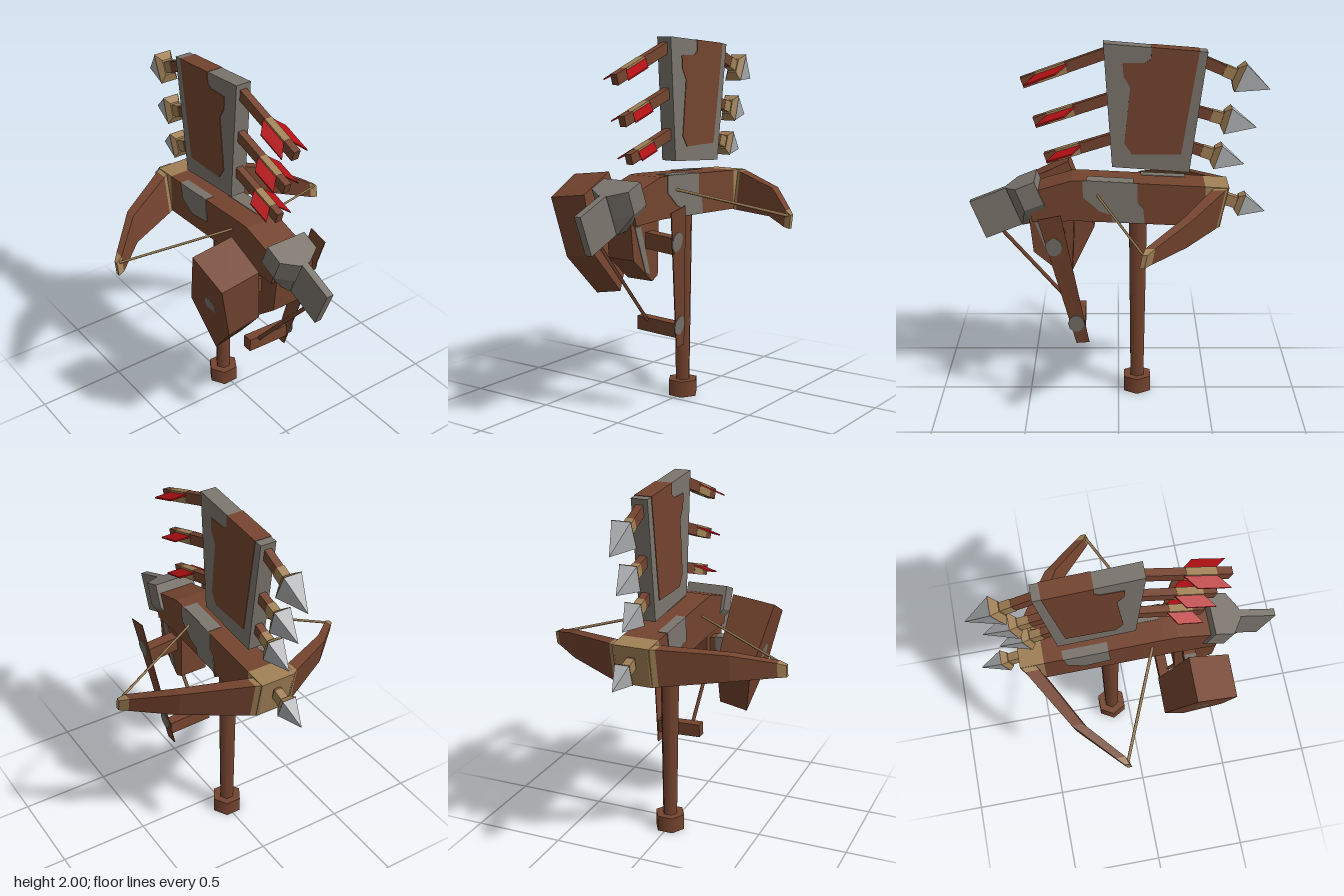
import * as THREE from 'three';

const material = (name, color, side = THREE.FrontSide) => {
  const m = new THREE.MeshStandardMaterial({ color, side });
  m.name = name;
  return m;
};

export function createModel() {
  const wood = material('brown wood', 0x74442f);
  const iron = material('worn grey iron', 0x7b756d);
  const rope = material('tan binding', 0xa08056);
  const steel = material('pale steel', 0xaeafb1);
  const red = material('red feather', 0xb01014, THREE.DoubleSide);
  const model = new THREE.Group();
  model.name = 'repeatingCrossbow';

  const add = (name, geometry, mat, parent = model) => {
    const mesh = new THREE.Mesh(geometry, mat);
    mesh.name = name;
    parent.add(mesh);
    return mesh;
  };

  // Flat-shaded solid through equal-length loops of points, always facing outward
  const loft = (loops) => {
    const tris = [];
    const n = loops[0].length;
    const last = loops[loops.length - 1];
    for (let k = 0; k + 1 < loops.length; k++) {
      for (let i = 0; i < n; i++) {
        const j = (i + 1) % n, a = loops[k], b = loops[k + 1];
        tris.push([a[i], a[j], b[j]], [a[i], b[j], b[i]]);
      }
    }
    for (let i = 1; i + 1 < n; i++) {
      tris.push([loops[0][0], loops[0][i + 1], loops[0][i]], [last[0], last[i], last[i + 1]]);
    }
    const v = (p) => new THREE.Vector3(...p);
    const o = v(loops[0][0]);
    const volume = tris.reduce((s, t) => {
      const [a, b, c] = t.map((p) => v(p).sub(o));
      return s + a.dot(b.cross(c));
    }, 0);
    if (volume < 0) tris.forEach((t) => t.reverse());
    const g = new THREE.BufferGeometry();
    g.setAttribute('position', new THREE.Float32BufferAttribute(tris.flat(2), 3));
    g.computeVertexNormals();
    return g;
  };

  // Side profile of [z, y] points, extruded from x0 to x1
  const slab = (pts, x0, x1) => {
    const shape = new THREE.Shape(pts.map(([z, y]) => new THREE.Vector2(-z, y)));
    return new THREE.ExtrudeGeometry(shape, { depth: x1 - x0, bevelEnabled: false })
      .rotateY(Math.PI / 2).translate(x0, 0, 0);
  };

  const rect = (w, h, z) =>
    [[-w / 2, -h / 2, z], [w / 2, -h / 2, z], [w / 2, h / 2, z], [-w / 2, h / 2, z]];

  const rod = (name, a, b, r, mat) => {
    const path = new THREE.LineCurve3(new THREE.Vector3(...a), new THREE.Vector3(...b));
    return add(name, new THREE.TubeGeometry(path, 1, r, 4), mat);
  };

  // Post and foot
  add('post', new THREE.CylinderGeometry(0.056, 0.042, 0.98, 6).rotateY(Math.PI / 6), wood)
    .position.set(-0.005, 0.56, -0.105);
  add('foot', new THREE.CylinderGeometry(0.086, 0.086, 0.09, 6).rotateY(Math.PI / 6), wood)
    .position.set(-0.005, 0.045, -0.105);

  // Stock: main beam, bound nose and drooping grip
  add('beam', slab([[0.5, 1.19], [0.44, 1.225], [0.25, 1.28], [0.18, 1.28], [-0.46, 1.247],
    [-0.46, 1.024], [0.22, 1.055], [0.46, 1.05]], -0.1, 0.1), wood);
  add('nose', slab([[-0.46, 1.247], [-0.587, 1.24], [-0.54, 1.02], [-0.46, 1.024]], -0.1, 0.1), rope);
  add('grip', slab([[0.24, 1.06], [0.48, 1.06], [0.46, 0.87], [0.3, 0.735], [0.25, 0.76]],
    -0.08, 0.08), wood);
  add('gripPatch', slab([[0.45, 1.04], [0.4, 1.04], [0.32, 0.77], [0.36, 0.79], [0.4, 0.9]],
    0.08, 0.084), iron);
  add('leftBeamPatch', slab([[0.19, 1.283], [-0.1, 1.268], [-0.1, 1.16], [-0.13, 1.13],
    [-0.14, 1.042], [0.03, 1.05], [0.04, 1.09], [0.1, 1.11], [0.19, 1.19]], 0.1, 0.104), iron);
  add('rightBeamPatch', slab([[-0.12, 1.267], [-0.36, 1.255], [-0.34, 1.16], [-0.25, 1.11],
    [-0.11, 1.13]], -0.104, -0.1), iron);
  const topPatch = (name, x, z, w, d, y) => {
    const p = add(name, new THREE.BoxGeometry(w, 0.006, d), iron);
    p.position.set(x, y, z);
    p.rotation.x = -0.052;
  };
  topPatch('leftTopPatch', 0.06, 0.045, 0.08, 0.25, 1.273);
  topPatch('rightTopPatch', -0.075, -0.24, 0.05, 0.24, 1.258);

  // Bow limbs and string: section = x, outer z, inner z, top y, bottom y
  const limb = [[0.09, -0.587, -0.51, 1.24, 1.02], [0.125, -0.565, -0.49, 1.235, 1.022],
    [0.44, -0.375, -0.315, 1.185, 1.035], [0.63, -0.18, -0.13, 1.105, 1.02],
    [0.668, -0.14, -0.115, 1.085, 1.015]];
  for (const s of [1, -1]) {
    const side = s > 0 ? 'left' : 'right';
    const sections = limb.map(([x, zo, zi, t, b]) => {
      const slant = (t - b) * 0.2;
      return [[s * x, t, zo], [s * x, t, zi], [s * x, b, zi + slant], [s * x, b, zo + slant]];
    });
    add(side + 'LimbRoot', loft(sections.slice(0, 2)), rope);
    add(side + 'Limb', loft(sections.slice(1, 4)), wood);
    add(side + 'LimbTip', loft(sections.slice(3)), rope);
    rod(side + 'String', [s * 0.65, 1.08, -0.12], [s * 0.08, 1.205, 0.122], 0.008, rope);
  }

  // Magazine with wooden panels
  add('magazine', slab([[0.08, 2], [-0.46, 1.955], [-0.375, 1.31], [0.035, 1.34]],
    -0.044, 0.044), iron);
  add('magazinePanel', slab([[-0.167, 1.981], [-0.416, 1.961], [-0.33, 1.41], [-0.07, 1.41],
    [-0.03, 1.47], [-0.06, 1.77], [-0.025, 1.83], [-0.02, 1.9], [-0.135, 1.9], [-0.167, 1.92]],
    -0.047, 0.047), wood);

  // Arrow fronts: start z, y, tip z, y, head size
  [[-0.44, 1.9, -0.793, 1.75, 0.16], [-0.41, 1.635, -0.73, 1.545, 0.148],
    [-0.38, 1.44, -0.67, 1.343, 0.138], [-0.52, 1.168, -0.793, 1.077, 0.125],
  ].forEach(([z, y, tz, ty, size]) => {
    const arrow = new THREE.Group();
    arrow.name = 'arrowFront';
    arrow.position.set(0, y, z);
    arrow.rotation.x = -Math.atan2(y - ty, z - tz);
    const length = Math.hypot(y - ty, z - tz);
    const base = length - size * 1.1, neck = base - 0.03, bind = neck - 0.06;
    const w = size * 0.65;
    add('shaft', loft([rect(0.04, 0.058, 0), rect(0.04, 0.058, -bind)]), wood, arrow);
    add('binding', loft([rect(0.044, 0.062, -bind), rect(0.044, 0.062, -neck)]), rope, arrow);
    add('collar', loft([rect(0.055, 0.08, -neck), rect(w, size, -base)]), rope, arrow);
    add('head', loft([rect(w * 0.96, size * 0.96, -base), rect(0.001, 0.001, -length)]), steel, arrow);
    model.add(arrow);
  });

  // Arrow tails: start z, y, end z, y
  [[0.06, 1.945, 0.503, 1.788], [0.045, 1.705, 0.443, 1.575], [0.035, 1.487, 0.39, 1.378],
  ].forEach(([z, y, ez, ey]) => {
    const tail = new THREE.Group();
    tail.name = 'arrowTail';
    tail.position.set(0, y, z);
    tail.rotation.x = Math.atan2(y - ey, ez - z);
    const l = Math.hypot(y - ey, ez - z);
    add('shaft', loft([rect(0.04, 0.058, 0), rect(0.04, 0.058, l * 0.48)]), wood, tail);
    add('binding', loft([rect(0.042, 0.06, l * 0.48), rect(0.042, 0.06, l * 0.82)]), rope, tail);
    add('nock', loft([rect(0.04, 0.058, l * 0.82), rect(0.04, 0.058, l)]), wood, tail);
    for (const s of [1, -1]) {
      const fin = (h) => [[s * 0.018, 0.012 + h, l * 0.45], [s * 0.078, -0.008 + h, l * 0.6],
        [s * 0.078, -0.008 + h, l * 0.98], [s * 0.018, 0.012 + h, l * 0.82]];
      add('feather', loft([fin(0), fin(0.008)]), red, tail);
    }
    model.add(tail);
  });

  // Rear cocking block: tapered shield and protruding blade
  const rear = new THREE.Group();
  rear.name = 'cockingBlock';
  rear.position.set(0, 1.215, 0.605);
  rear.rotation.x = 0.38;
  const shield = (w, low, z) => [[-w, 0, z], [w, 0, z], [w, -0.13, z], [low, -0.224, z],
    [-low, -0.224, z], [-w, -0.13, z]];
  add('shield', loft([shield(0.118, 0.06, -0.17), shield(0.118, 0.06, -0.06),
    shield(0.03, 0.025, 0)]), iron, rear);
  add('blade', new THREE.BoxGeometry(0.04, 0.224, 0.3), iron, rear).position.set(0, -0.112, 0.065);
  model.add(rear);

  // Side drum: tapers and leans toward the bottom
  const drumProfile = [[0.28, 1.29], [0.5, 1.19], [0.46, 0.87], [0.27, 0.645], [0.135, 0.92]];
  const inner = drumProfile.map(([z, y]) => [-0.155 - 0.1 * (y - 0.655), y, z]);
  const outer = drumProfile.map(([z, y]) => [-0.315 - 0.22 * (y - 0.64), y - 0.03, z]);
  add('drum', loft([inner, outer]), wood);

  // Round iron caps on the axle ends and crank pin
  const cap = (name, x, y, z, tilt) => {
    const c = add(name, new THREE.CylinderGeometry(0.044, 0.044, 0.008, 10).rotateZ(Math.PI / 2), iron);
    c.position.set(x, y, z);
    c.rotation.z = tilt;
    c.scale.y = 1.2;
  };
  cap('drumCap', -0.388, 0.96, 0.33, 0.22);
  cap('axleCap', 0.267, 0.97, 0.34, -0.135);
  cap('crankCap', 0.204, 0.5, 0.23, -0.135);

  // Axle, crank lever and handle
  const axle = add('axle', new THREE.BoxGeometry(0.46, 0.085, 0.066), wood);
  axle.position.set(0.035, 0.965, 0.322);
  axle.rotation.z = -0.09;
  const sleeve = add('axleSleeve', new THREE.BoxGeometry(0.07, 0.09, 0.07), iron);
  sleeve.position.set(-0.15, 0.982, 0.322);
  sleeve.rotation.z = -0.09;
  const lever = (d) => [[0.29 + d, 1.13, 0.42], [0.293 + d, 1.155, 0.3],
    [0.188 + d, 0.38, 0.16], [0.188 + d, 0.375, 0.23]];
  add('crankLever', loft([lever(-0.006), lever(0)]), wood);
  const handle = add('crankHandle', new THREE.BoxGeometry(0.255, 0.075, 0.058), wood);
  handle.position.set(0.064, 0.474, 0.21);
  handle.rotation.z = -0.04;
  rod('pullRod', [0, 0.975, 0.64], [0, 0.5, 0.235], 0.011, wood);

  return model;
}
